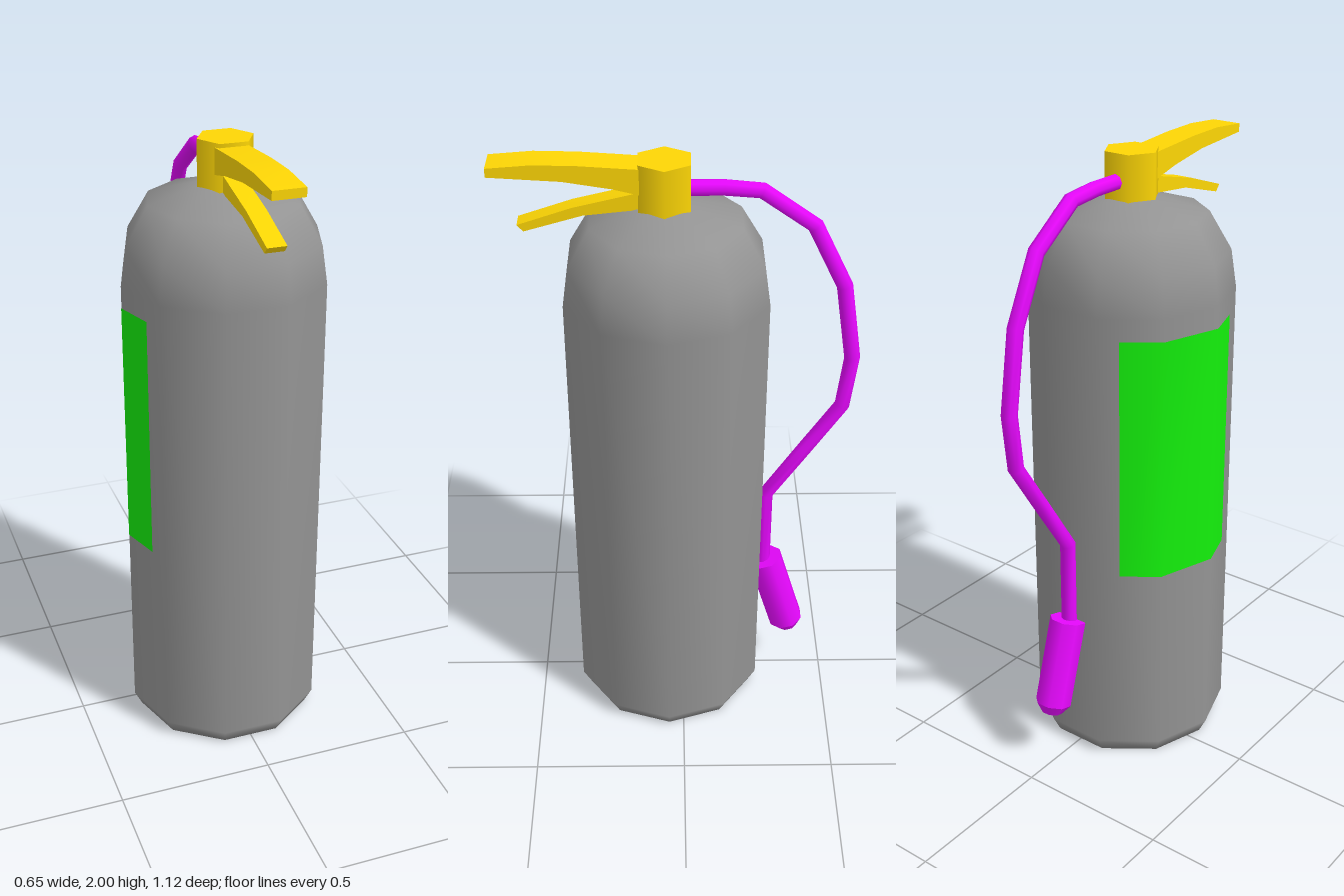
import * as THREE from 'three';
import { toCreasedNormals } from 'three/addons/utils/BufferGeometryUtils.js';

const AXIS_Z = 0.05; // the cylinder and valve sit slightly forward
const HOSE_X = 0.008;

const paint = (color) => new THREE.MeshStandardMaterial({ color });

function add(parent, name, geometry, material) {
  const mesh = new THREE.Mesh(geometry, material);
  mesh.name = name;
  parent.add(mesh);
  return mesh;
}

// Extrudes a side profile given as [z, y] pairs to a width centred on x
function sideProfile(points, width) {
  const shape = new THREE.Shape(points.map(([z, y]) => new THREE.Vector2(z, y)));
  const geometry = new THREE.ExtrudeGeometry(shape, { depth: width, bevelEnabled: false });
  geometry.translate(0.003, 0, -width / 2).rotateY(-Math.PI / 2);
  return toCreasedNormals(geometry, 0.6);
}

// Straight-segment path with averaged directions at the bends
class Polyline extends THREE.Curve {
  constructor(points) {
    super();
    this.points = points;
  }
  getPoint(t, target = new THREE.Vector3()) {
    const f = t * (this.points.length - 1);
    const i = Math.min(Math.floor(f), this.points.length - 2);
    return target.lerpVectors(this.points[i], this.points[i + 1], f - i);
  }
  getPointAt(t, target) { return this.getPoint(t, target); }
  getTangentAt(t, target) { return this.getTangent(t, target); }
}

// Wrapped panel lying on the facets of the right side
function labelGeometry() {
  const radius = 0.326;
  const corner = (deg) => {
    const a = THREE.MathUtils.degToRad(deg);
    return new THREE.Vector2(-Math.cos(a), Math.sin(a)).multiplyScalar(radius);
  };
  const columns = [
    corner(-36).lerp(corner(-72), 0.66),
    corner(-36),
    corner(0),
    corner(0).lerp(corner(36), 0.66),
  ];
  const geometry = new THREE.PlaneGeometry(1, 0.8, 3, 1);
  const pos = geometry.attributes.position;
  for (let i = 0; i < pos.count; i++) {
    const c = columns[i % 4];
    pos.setXYZ(i, c.x, pos.getY(i) + 1.1, c.y + AXIS_Z);
  }
  geometry.computeVertexNormals();
  return geometry;
}

export function createModel() {
  const model = new THREE.Group();
  model.name = 'fireExtinguisher';
  const grey = paint(0x949494);
  const yellow = paint(0xfdd605);
  const magenta = paint(0xe808ff);
  const green = paint(0x14f00c);

  // Ten-sided tank with rounded shoulders
  const profile = [
    [0, 0], [0.3, 0], [0.325, 0.05], [0.325, 1.57],
    [0.307, 1.69], [0.237, 1.81], [0.08, 1.855], [0, 1.855],
  ].map(([r, y]) => new THREE.Vector2(r, y));
  const tank = add(model, 'tank', new THREE.LatheGeometry(profile, 10, Math.PI / 2), grey);
  tank.position.z = AXIS_Z;

  add(model, 'label', labelGeometry(), green);

  // Hexagonal valve with two levers
  const valve = add(model, 'valve',
    new THREE.CylinderGeometry(0.088, 0.088, 0.15, 6, 1, false, Math.PI / 2), yellow);
  valve.position.set(0.004, 1.922, AXIS_Z + 0.004);
  add(model, 'upperLever', sideProfile([
    [0.1, 1.9], [0.2, 1.925], [0.345, 1.949], [0.56, 1.963],
    [0.56, 1.99], [0.43, 2.0], [0.3, 1.997], [0.1, 1.983],
  ], 0.1), yellow);
  add(model, 'lowerLever', sideProfile([
    [0.1, 1.853], [0.29, 1.833], [0.465, 1.783],
    [0.483, 1.804], [0.32, 1.858], [0.1, 1.91],
  ], 0.06), yellow);

  // Hose hanging down the back
  const path = [
    [0, 1.91], [-0.12, 1.91], [-0.23, 1.9], [-0.39, 1.787], [-0.49, 1.585],
    [-0.53, 1.33], [-0.51, 1.15], [-0.4, 0.98], [-0.277, 0.79], [-0.277, 0.49],
  ].map(([z, y]) => new THREE.Vector3(HOSE_X, y, z));
  add(model, 'hose',
    new THREE.TubeGeometry(new Polyline(path), path.length - 1, 0.025, 8), magenta);

  // Tilted round nozzle with a chamfered tip
  const nozzle = new THREE.Group();
  nozzle.name = 'nozzle';
  const section = (name, top, bottom, length, y) => {
    const mesh = add(nozzle, name,
      new THREE.CylinderGeometry(top, bottom, length, 8, 1, false, Math.PI / 8), magenta);
    mesh.position.y = y - length / 2;
  };
  section('nozzleBarrel', 0.06, 0.06, 0.295, 0);
  section('nozzleTip', 0.06, 0.034, 0.035, -0.295);
  nozzle.position.set(HOSE_X, 0.51, -0.284);
  nozzle.rotation.x = 0.29;
  model.add(nozzle);

  return model;
}
